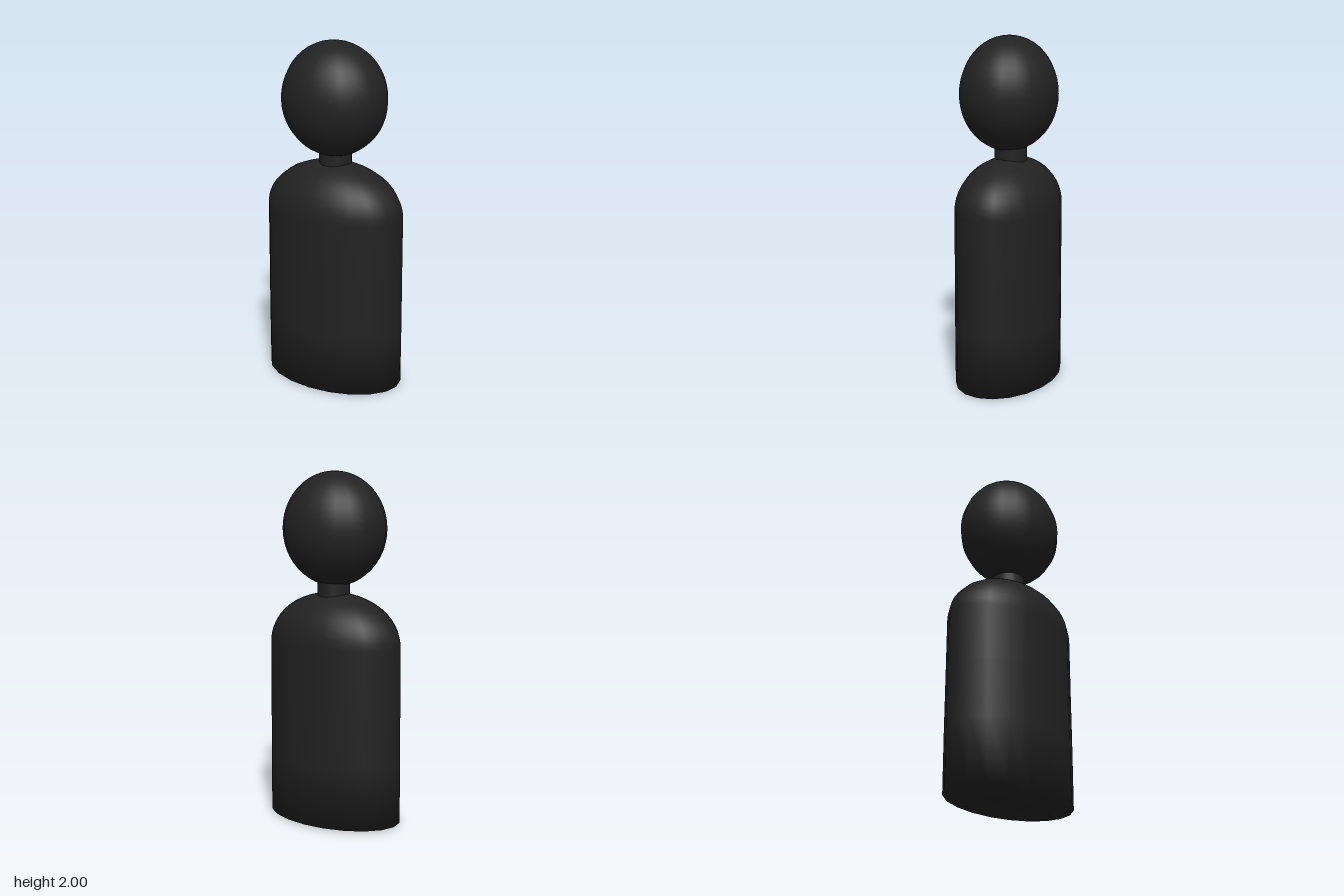
import * as THREE from 'three';

export function createModel() {
  const group = new THREE.Group();
  const material = new THREE.MeshStandardMaterial({ color: 0x222222 });
  const add = (name, geometry) => {
    const mesh = new THREE.Mesh(geometry, material);
    mesh.name = name;
    group.add(mesh);
    return mesh;
  };

  // Body: oval column with a domed shoulder, smooth round the bottom rim
  const profile = [[0, 0], [1, 0.006], [1, 0.36], [0.995, 0.7]].map(([r, y]) => new THREE.Vector2(r, y));
  const rings = 12;
  for (let i = 0; i <= rings; i++) {
    const a = (i / rings) * Math.PI / 2;
    profile.push(new THREE.Vector2(i === rings ? 0 : 0.992 * Math.cos(a), 1.025 + 0.29 * Math.sin(a)));
  }
  add('body', new THREE.LatheGeometry(profile, 20).scale(0.28, 1, 0.427));

  // Neck: short round post between shoulder and head
  add('neck', new THREE.CylinderGeometry(0.093, 0.093, 0.24, 20)).position.set(0.01, 1.34, 0);

  // Head: egg-like ellipsoid
  add('head', new THREE.SphereGeometry(1, 20, 24).scale(0.276, 0.325, 0.309)).position.y = 1.675;

  // The whole figure is turned slightly
  group.rotation.y = 0.126;
  return group;
}
